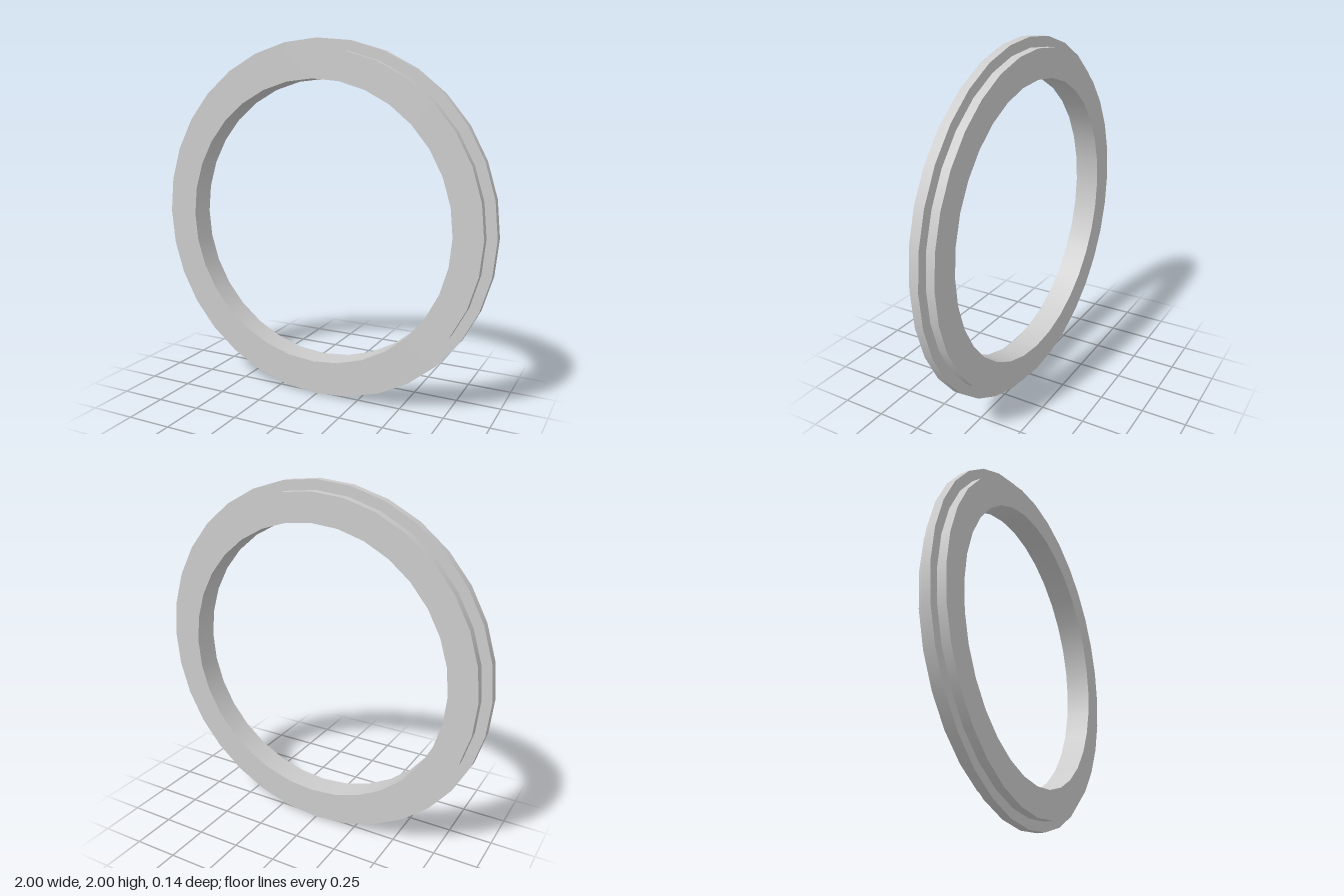
import * as THREE from 'three';
import { mergeGeometries } from 'three/addons/utils/BufferGeometryUtils.js';

const SIDES = 32;
const INNER = 0.787, BODY = 0.945, RIM = 1;   // radii
const HALF = 0.072, RIM_HALF = 0.024;         // half depths

// Lathes each profile span on its own, so the profile corners stay sharp
// while the surface is smooth around the ring.
function ringPart(name, spans) {
  const bands = spans.map(span =>
    new THREE.LatheGeometry(span.map(([r, h]) => new THREE.Vector2(r, h)), SIDES));
  const geometry = mergeGeometries(bands);
  geometry.rotateX(Math.PI / 2);
  const mesh = new THREE.Mesh(geometry, new THREE.MeshStandardMaterial({ color: 0xcccccc }));
  mesh.name = name;
  mesh.position.y = RIM;
  return mesh;
}

export function createModel() {
  const model = new THREE.Group();
  model.name = 'flangedRing';

  // Wide body: outer shoulders, two flat faces and the bore
  model.add(ringPart('ringBody', [
    [[BODY, -HALF], [BODY, -RIM_HALF]],
    [[BODY, RIM_HALF], [BODY, HALF]],
    [[BODY, HALF], [INNER, HALF]],
    [[INNER, HALF], [INNER, -HALF]],
    [[INNER, -HALF], [BODY, -HALF]],
  ]));

  // Narrow flange standing out around the middle
  model.add(ringPart('outerFlange', [
    [[BODY, -RIM_HALF], [RIM, -RIM_HALF]],
    [[RIM, -RIM_HALF], [RIM, RIM_HALF]],
    [[RIM, RIM_HALF], [BODY, RIM_HALF]],
  ]));

  return model;
}
